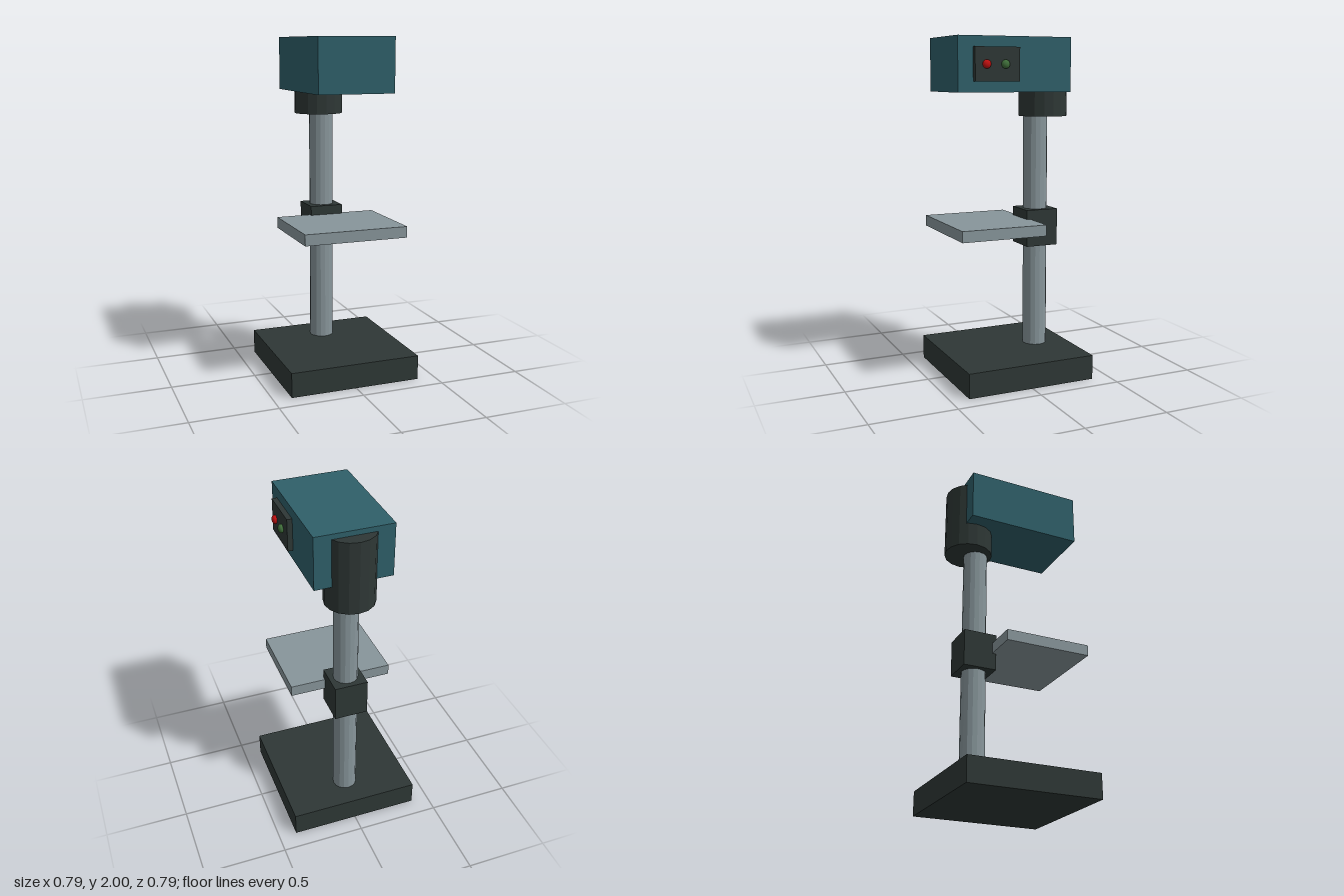
import * as THREE from 'three';

export function createModel() {
  const model = new THREE.Group();
  model.name = 'benchDrill';

  const material = (name, color, flatShading = true) =>
    Object.assign(new THREE.MeshStandardMaterial({ color, flatShading }), { name });
  const teal = material('tealPaint', 0x2f5f69);
  const dark = material('darkIron', 0x2e3735);
  const steel = material('greySteel', 0x87959a);
  const red = material('redButton', 0xc01010, false);
  const green = material('greenButton', 0x3f6e3a, false);

  const add = (name, geometry, mat, x, y, z) => {
    const mesh = new THREE.Mesh(geometry, mat);
    mesh.name = name;
    mesh.position.set(x, y, z);
    model.add(mesh);
    return mesh;
  };
  // Box given by its lower and upper limits on each axis
  const box = (name, mat, [x0, x1], [y0, y1], [z0, z1]) =>
    add(name, new THREE.BoxGeometry(x1 - x0, y1 - y0, z1 - z0), mat,
      (x0 + x1) / 2, (y0 + y1) / 2, (z0 + z1) / 2);
  // Upright cylinder between two heights
  const post = (name, mat, radius, [y0, y1], z) =>
    add(name, new THREE.CylinderGeometry(radius, radius, y1 - y0, 16), mat, 0, (y0 + y1) / 2, z);

  // Stand
  box('base', dark, [-0.393, 0.393], [0, 0.145], [-0.393, 0.393]);
  post('column', steel, 0.072, [0.14, 1.6], -0.2);

  // Work table and its clamp
  box('tableClamp', dark, [-0.1, 0.1], [0.77, 0.99], [-0.3, -0.1]);
  box('workTable', steel, [-0.308, 0.308], [0.87, 0.935], [-0.125, 0.393]);

  // Head with the motor housing behind it
  box('head', teal, [-0.225, 0.225], [1.69, 2], [-0.315, 0.381]);
  post('motorHousing', dark, 0.145, [1.545, 1.97], -0.248);

  // Switch panel on the left side, with two domed buttons
  box('switchPanel', dark, [0.22, 0.255], [1.75, 1.94], [0.021, 0.291]);
  for (const [name, mat, z] of [['stopButton', red, 0.225], ['startButton', green, 0.112]]) {
    add(name, new THREE.SphereGeometry(0.025, 16, 12), mat, 0.262, 1.845, z).scale.x = 0.7;
  }

  return model;
}
